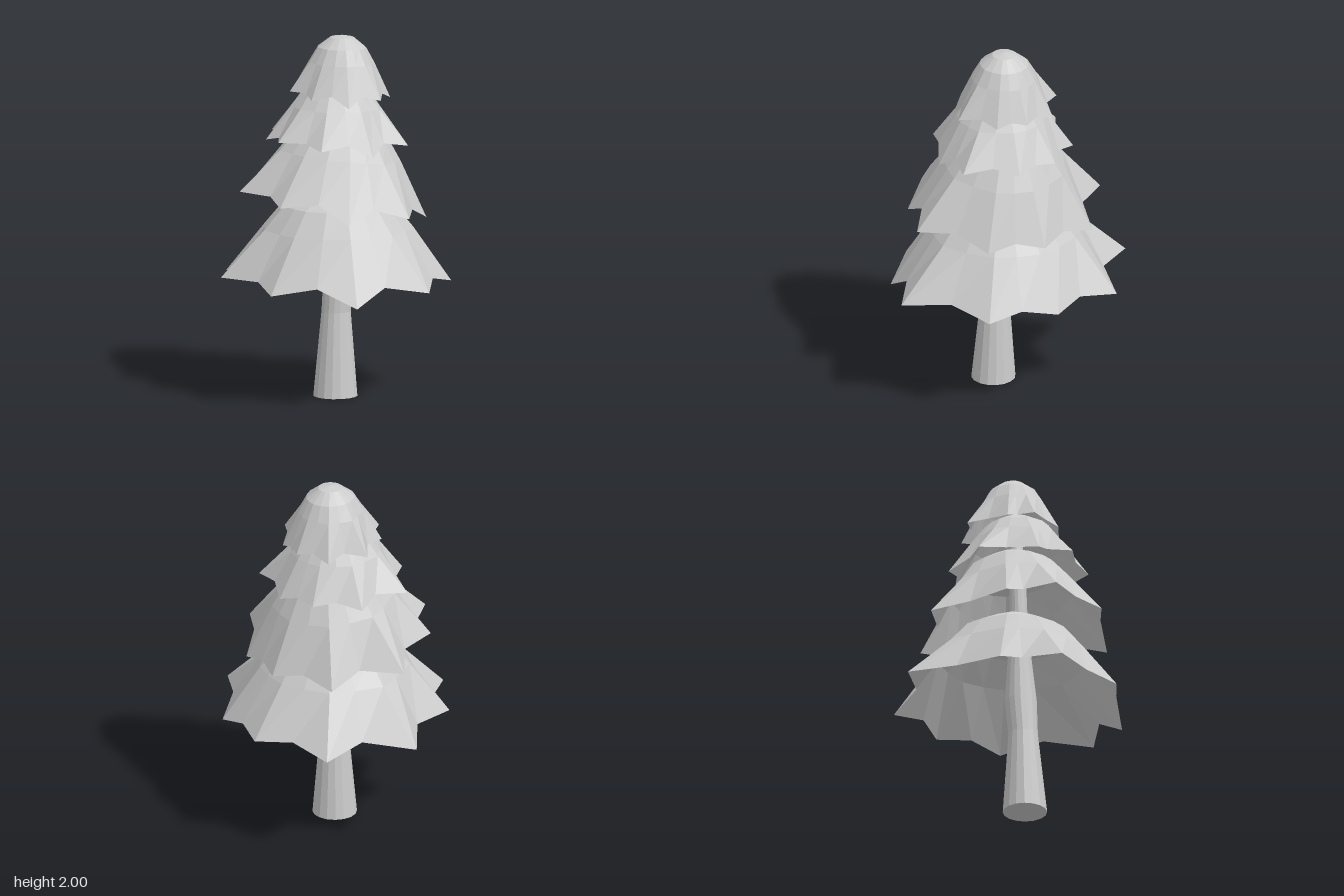
import * as THREE from 'three';

const material = new THREE.MeshStandardMaterial({
  color: 0xcccccc, flatShading: true, side: THREE.DoubleSide,
});

// Jagged rim of a branch skirt: tips and notches in turn, as x, y, z
const RIM = [
  [0.10, 0, -0.71], [0.28, 0.03, -0.47], [0.51, -0.03, -0.42], [0.525, 0.02, -0.18],
  [0.625, 0, 0.015], [0.53, 0.02, 0.19], [0.495, -0.025, 0.375], [0.28, 0.03, 0.495],
  [0.10, 0, 0.705], [-0.095, 0.03, 0.56], [-0.28, -0.07, 0.555], [-0.42, 0.03, 0.375],
  [-0.605, -0.015, 0.20], [-0.555, 0.03, 0.015], [-0.625, 0.025, -0.235], [-0.42, 0.03, -0.345],
  [-0.40, 0, -0.49], [-0.10, 0.03, -0.53],
];

// Skins a list of equally long rings, each running from +x towards +z, from the bottom up
function loft(rings) {
  const n = rings[0].length;
  const index = [];
  for (let r = 0; r < rings.length - 1; r++) {
    for (let i = 0; i < n; i++) {
      const j = (i + 1) % n;
      const a = r * n + i, b = r * n + j, c = a + n, d = b + n;
      index.push(a, c, b, b, c, d);
    }
  }
  const geometry = new THREE.BufferGeometry();
  geometry.setAttribute('position', new THREE.Float32BufferAttribute(rings.flat(2), 3));
  geometry.setIndex(index);
  geometry.computeVertexNormals();
  return geometry;
}

// A drooping skirt: jagged rim, softer middle ring, broad shoulder, domed top
function skirtGeometry() {
  const ring = (radius, y, jag) => RIM.map(([x, , z]) => {
    const length = Math.hypot(x, z);
    const r = radius * (1 + jag * (length / 0.6 - 1));
    return [x / length * r, y, z / length * r];
  });
  return loft([
    RIM, ring(0.41, 0.275, 0.2), ring(0.305, 0.405, 0.1), ring(0.15, 0.49, 0), ring(0.001, 0.51, 0),
  ]);
}

// Bent, tapering trunk with a closed foot; each section is x, y, z, radius
function trunkGeometry() {
  const sections = [
    [-0.047, 0, 0.04, 0.001], [-0.047, 0, 0.04, 0.122], [-0.038, 0.47, 0.035, 0.081],
    [-0.017, 0.68, 0.037, 0.088], [-0.02, 1.1, 0.02, 0.05],
    [-0.02, 1.45, 0.01, 0.045], [0.015, 1.9, 0.015, 0.02],
  ];
  const sides = 16;
  return loft(sections.map(([x, y, z, r]) => Array.from({ length: sides }, (_, i) => {
    const a = i / sides * Math.PI * 2;
    return [x + r * Math.cos(a), y, z + r * Math.sin(a)];
  })));
}

export function createModel() {
  const group = new THREE.Group();
  group.name = 'pineTree';

  const trunk = new THREE.Mesh(trunkGeometry(), material);
  trunk.name = 'trunk';
  group.add(trunk);

  // Four tiers of branches, each smaller and a little tilted
  const tiers = [
    { name: 'bottomBranches', at: [0, 0.655, 0], width: 1, height: 1, turn: 0, tilt: 0 },
    { name: 'lowerBranches', at: [-0.026, 1.065, 0.004], width: 0.818, height: 0.97, turn: 0, tilt: -0.13 },
    { name: 'upperBranches', at: [-0.027, 1.422, 0.008], width: 0.606, height: 0.68, turn: 0.42, tilt: -0.03 },
    { name: 'topBranches', at: [0.012, 1.675, 0.01], width: 0.437, height: 0.635, turn: 0, tilt: -0.03 },
  ];
  const skirt = skirtGeometry();
  for (const { name, at, width, height, turn, tilt } of tiers) {
    const tier = new THREE.Mesh(skirt, material);
    tier.name = name;
    tier.position.set(...at);
    tier.scale.set(width, height, width);
    tier.rotation.set(0, turn, tilt, 'ZYX');
    group.add(tier);
  }
  return group;
}
